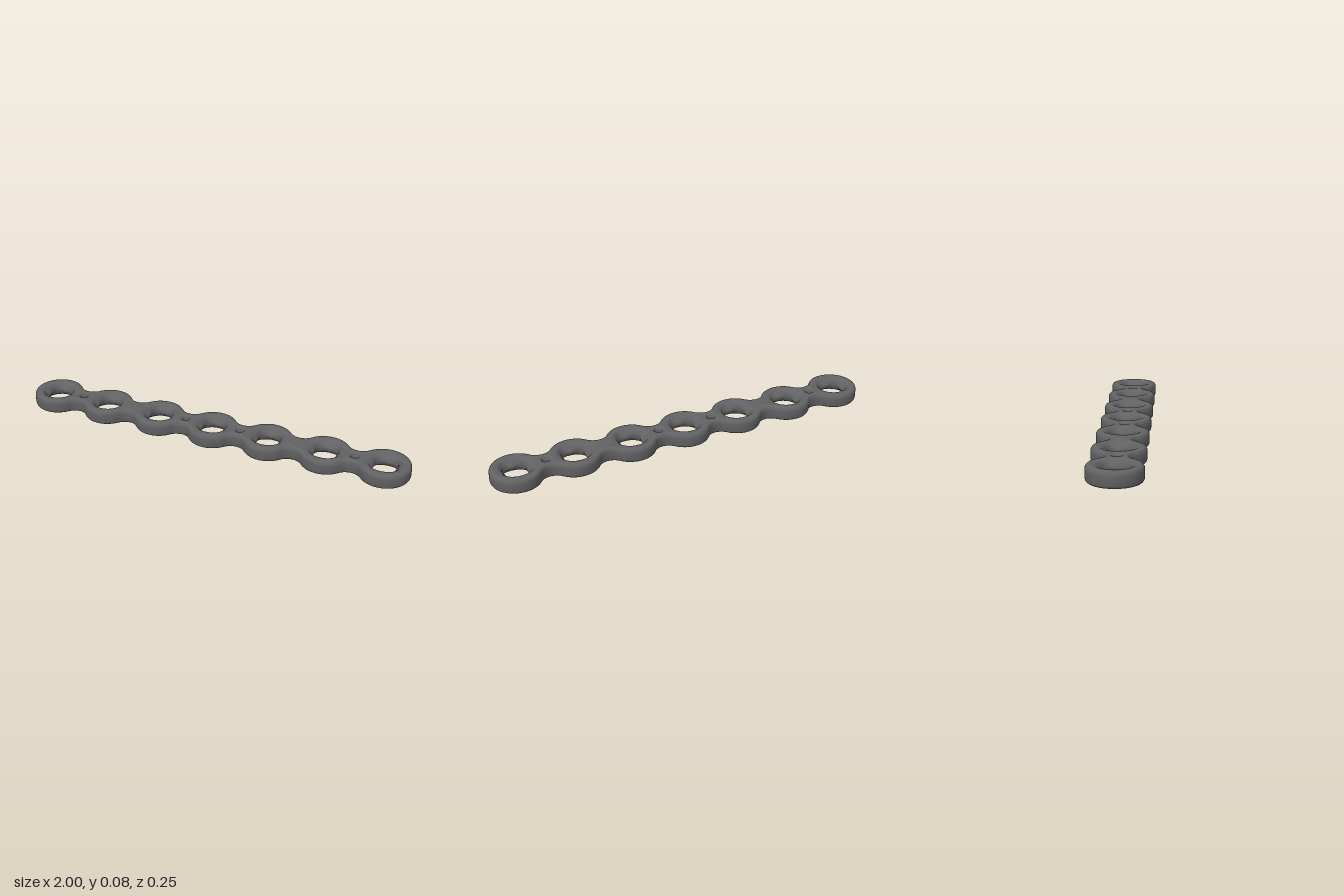
import * as THREE from 'three';
import { mergeVertices, toCreasedNormals } from 'three/addons/utils/BufferGeometryUtils.js';

const COUNT = 7, PITCH = 0.2917, RING = 0.125, NECK = 0.055, HEIGHT = 0.075;
const BEVEL = 0.015, BEVEL_H = 0.02;
const ringX = i => (i - (COUNT - 1) / 2) * PITCH;

// Scalloped outline: ring arcs joined by concave fillets at the necks
function plateOutline() {
  const m = PITCH / 2;
  const rf = (m * m + NECK * NECK - RING * RING) / (2 * (RING - NECK));
  const a = Math.atan2(NECK + rf, m);
  const upper = [];
  const arc = (cx, cy, r, from, to, n) => {
    for (let k = 0; k < n; k++) {
      const t = from + (to - from) * k / n;
      upper.push(new THREE.Vector2(cx + r * Math.cos(t), cy + r * Math.sin(t)));
    }
  };
  for (let i = COUNT - 1; i >= 0; i--) {
    const start = i === COUNT - 1 ? 0 : a;
    const end = i === 0 ? Math.PI : Math.PI - a;
    arc(ringX(i), 0, RING, start, end, 28);
    if (i > 0) arc(ringX(i) - m, NECK + rf, rf, -a, a - Math.PI, 14);
  }
  const lower = upper.map(p => new THREE.Vector2(-p.x, -p.y));
  return new THREE.Shape([...upper, ...lower]);
}

function roundHole(x, r, n) {
  const pts = [];
  for (let k = 0; k < n; k++) {
    const t = -2 * Math.PI * k / n;
    pts.push(new THREE.Vector2(x + r * Math.cos(t), r * Math.sin(t)));
  }
  return new THREE.Path(pts);
}

// Screw hole wall: round at both faces, four-lobed at the throat
function screwHoleWall() {
  const half = [[0, 0.093], [0.002, 0.086], [0.005, 0.081], [0.011, 0.075],
    [0.019, 0.069], [0.028, 0.063], [0.0375, 0.061]];
  const rows = [...half, ...half.slice(0, -1).reverse().map(([d, r]) => [HEIGHT - d, r])];
  const geo = new THREE.LatheGeometry(rows.map(([d, r]) => new THREE.Vector2(r, HEIGHT - d)), 64);
  const pos = geo.attributes.position;
  for (let i = 0; i < pos.count; i++) {
    const x = pos.getX(i), y = pos.getY(i), z = pos.getZ(i);
    const depth = Math.max(0, Math.min(y, HEIGHT - y)) / (HEIGHT / 2);
    const r = Math.hypot(x, z);
    const lobe = 1 - 0.010 * depth * Math.cos(4 * Math.atan2(z, x)) / r;
    pos.setXYZ(i, x * lobe, y, z * lobe);
  }
  geo.deleteAttribute('normal');
  geo.deleteAttribute('uv');
  const welded = mergeVertices(geo, 1e-5);
  welded.computeVertexNormals();
  return welded;
}

export function createModel() {
  const group = new THREE.Group();
  group.name = 'linkedRingPlate';
  const metal = new THREE.MeshStandardMaterial({ color: 0x626264, side: THREE.DoubleSide });
  metal.name = 'dark grey metal';

  const add = (geo, name, x = 0, y = 0) => {
    const mesh = new THREE.Mesh(geo, metal);
    mesh.name = name;
    mesh.position.set(x, y, 0);
    group.add(mesh);
  };

  // Plate body with screw holes and small pin holes in the necks
  const shape = plateOutline();
  for (let i = 0; i < COUNT; i++) shape.holes.push(roundHole(ringX(i), 0.078, 48));
  const pinX = [-2.5, -0.5, 0.5, 2.5].map(k => k * PITCH);
  pinX.forEach(x => shape.holes.push(roundHole(x, 0.017, 24)));
  const body = new THREE.ExtrudeGeometry(shape, {
    depth: HEIGHT - 2 * BEVEL_H, bevelEnabled: true, bevelSize: BEVEL,
    bevelThickness: BEVEL_H, bevelOffset: -BEVEL, bevelSegments: 5,
  });
  body.translate(0, 0, BEVEL_H);
  body.rotateX(-Math.PI / 2);
  add(toCreasedNormals(body, 0.6), 'plateBody');

  // Lobed walls inside each ring
  const wall = screwHoleWall();
  for (let i = 0; i < COUNT; i++) add(wall, 'screwHoleWall', ringX(i));

  // Web closing one pin hole
  add(new THREE.CylinderGeometry(0.019, 0.019, 0.012, 24), 'pinHoleWeb', pinX[1], HEIGHT / 2);
  return group;
}
